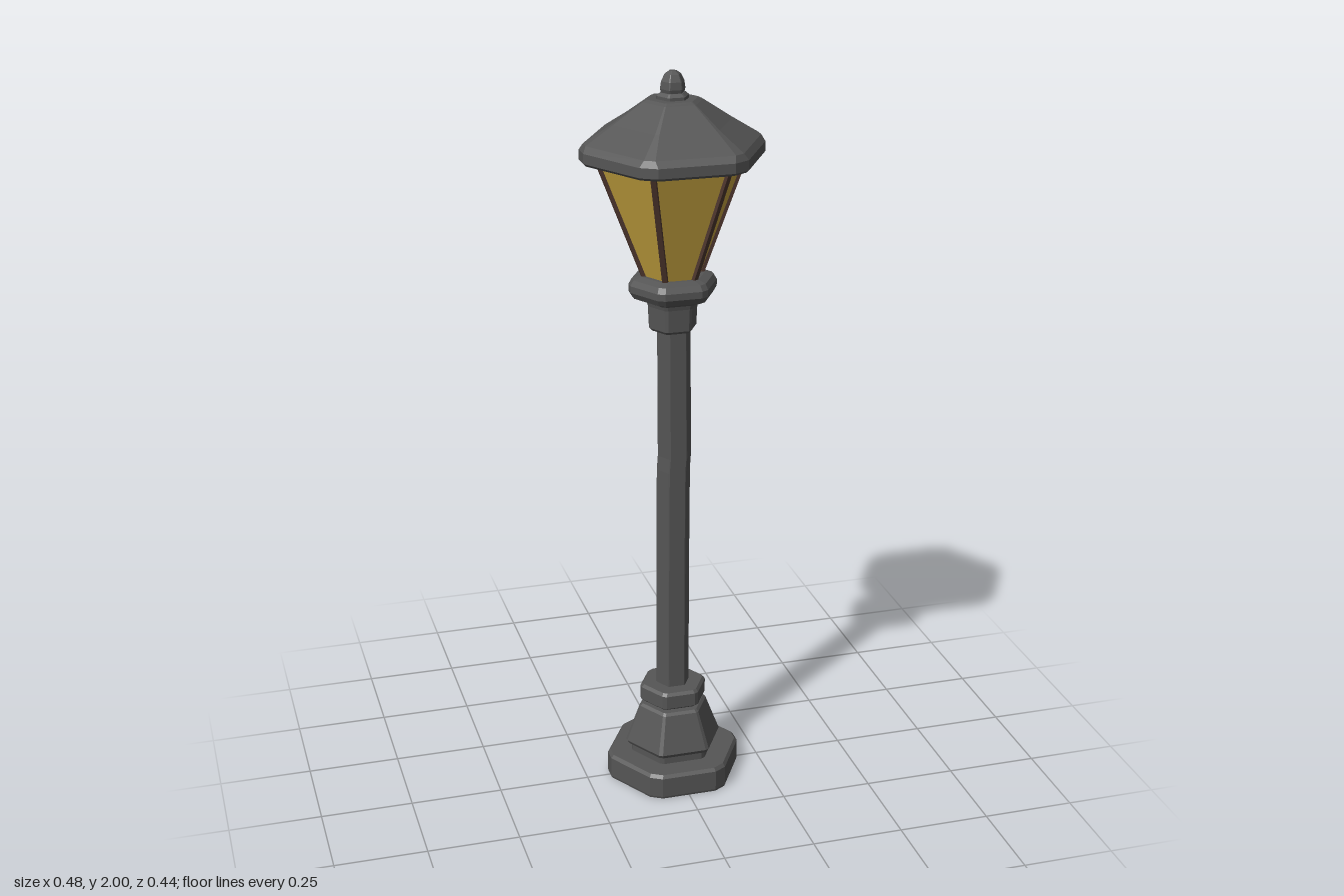
import * as THREE from 'three';

const SIDES = 6;

// Hexagonal loft with corners on the x axis.
// Each ring is [radius to corner, height, corner cut, optional x shift].
function hexLoft(rings) {
  const corner = (k) => new THREE.Vector2(Math.cos(k * Math.PI / 3), Math.sin(k * Math.PI / 3));
  const loops = rings.map(([r, y, cut, dx = 0]) => {
    const loop = [];
    for (let k = 0; k < SIDES; k++) {
      for (const next of [k - 1, k + 1]) {
        const p = corner(k).lerp(corner(next), cut).multiplyScalar(r);
        loop.push(new THREE.Vector3(p.x + dx, y, p.y));
      }
    }
    return loop;
  });
  const n = SIDES * 2;
  const points = [];
  for (let i = 0; i < loops.length - 1; i++) {
    for (let j = 0; j < n; j++) {
      const a = loops[i][j], b = loops[i][(j + 1) % n];
      const c = loops[i + 1][j], d = loops[i + 1][(j + 1) % n];
      points.push(a, c, b, b, c, d);
    }
  }
  // Flat caps at both ends
  const bottom = loops[0], top = loops[loops.length - 1];
  for (let j = 1; j < n - 1; j++) {
    points.push(bottom[0], bottom[j], bottom[j + 1]);
    points.push(top[0], top[j + 1], top[j]);
  }
  const geometry = new THREE.BufferGeometry().setFromPoints(points);
  geometry.computeVertexNormals();
  return geometry;
}

export function createModel() {
  const model = new THREE.Group();
  model.name = 'streetLamp';

  const iron = new THREE.MeshStandardMaterial({ color: 0x555555, flatShading: true });
  iron.name = 'dark iron';
  const glass = new THREE.MeshStandardMaterial({ color: 0xc9a640, flatShading: true });
  glass.name = 'amber glass';
  const bronze = new THREE.MeshStandardMaterial({ color: 0x4f382f, flatShading: true });
  bronze.name = 'brown frame';

  const add = (name, rings, material = iron) => {
    const mesh = new THREE.Mesh(hexLoft(rings), material);
    mesh.name = name;
    model.add(mesh);
    return mesh;
  };

  // Foot: plinth, step and tapered pedestal
  add('plinth', [[0.194, 0, 0.11], [0.196, 0.006, 0.11], [0.196, 0.062, 0.11], [0.188, 0.071, 0.11]]);
  add('step', [[0.122, 0.068, 0.06], [0.122, 0.1, 0.06]]);
  add('pedestal', [[0.132, 0.095, 0.05], [0.138, 0.105, 0.05], [0.098, 0.208, 0.05], [0.09, 0.215, 0.05]]);

  // Pole floats just above the pedestal and leans very slightly
  add('poleCollar', [[0.09, 0.226, 0.08], [0.096, 0.231, 0.08], [0.096, 0.268, 0.08], [0.088, 0.276, 0.08]]);
  add('pole', [[0.047, 0.27, 0.04], [0.047, 0.6, 0.04], [0.047, 0.92, 0.04, 0.002],
    [0.047, 0.96, 0.04, 0.005], [0.046, 1.33, 0.04, 0.003]]);

  // Neck and rounded cup below the lantern
  add('neck', [[0.06, 1.318, 0.08], [0.066, 1.325, 0.08], [0.069, 1.385, 0.08], [0.076, 1.41, 0.08]]);
  add('lanternCup', [[0.085, 1.4, 0.1], [0.112, 1.411, 0.1], [0.123, 1.428, 0.1],
    [0.123, 1.446, 0.1], [0.114, 1.461, 0.1], [0.09, 1.468, 0.1]]);

  // Lantern glass with a thin bar along each corner
  const low = { r: 0.075, y: 1.46 }, high = { r: 0.2, y: 1.785 };
  add('lanternGlass', [[low.r, low.y, 0.005], [high.r, high.y, 0.005]], glass);
  const bars = new THREE.Group();
  bars.name = 'lanternBars';
  const slope = Math.atan2(high.r - low.r, high.y - low.y);
  const length = Math.hypot(high.r - low.r, high.y - low.y);
  for (let k = 0; k < SIDES; k++) {
    const spoke = new THREE.Group();
    spoke.rotation.y = k * Math.PI / 3;
    const bar = new THREE.Mesh(new THREE.BoxGeometry(0.012, length, 0.014), bronze);
    bar.name = 'lanternBar';
    bar.position.set((low.r + high.r) / 2, (low.y + high.y) / 2, 0);
    bar.rotation.z = -slope;
    spoke.add(bar);
    bars.add(spoke);
  }
  model.add(bars);

  // Roof with cut corners on the rim
  add('roof', [[0.246, 1.775, 0.11], [0.254, 1.782, 0.11], [0.254, 1.808, 0.11],
    [0.24, 1.825, 0.07], [0.16, 1.872, 0.04], [0.08, 1.924, 0.03], [0.068, 1.93, 0.03]]);

  // Finial
  add('finialBase', [[0.044, 1.925, 0.08], [0.044, 1.938, 0.08], [0.034, 1.946, 0.08]]);
  add('finial', [[0.03, 1.94, 0.06], [0.034, 1.955, 0.06], [0.031, 1.974, 0.06],
    [0.022, 1.992, 0.06], [0.01, 2, 0.06]]);

  return model;
}
